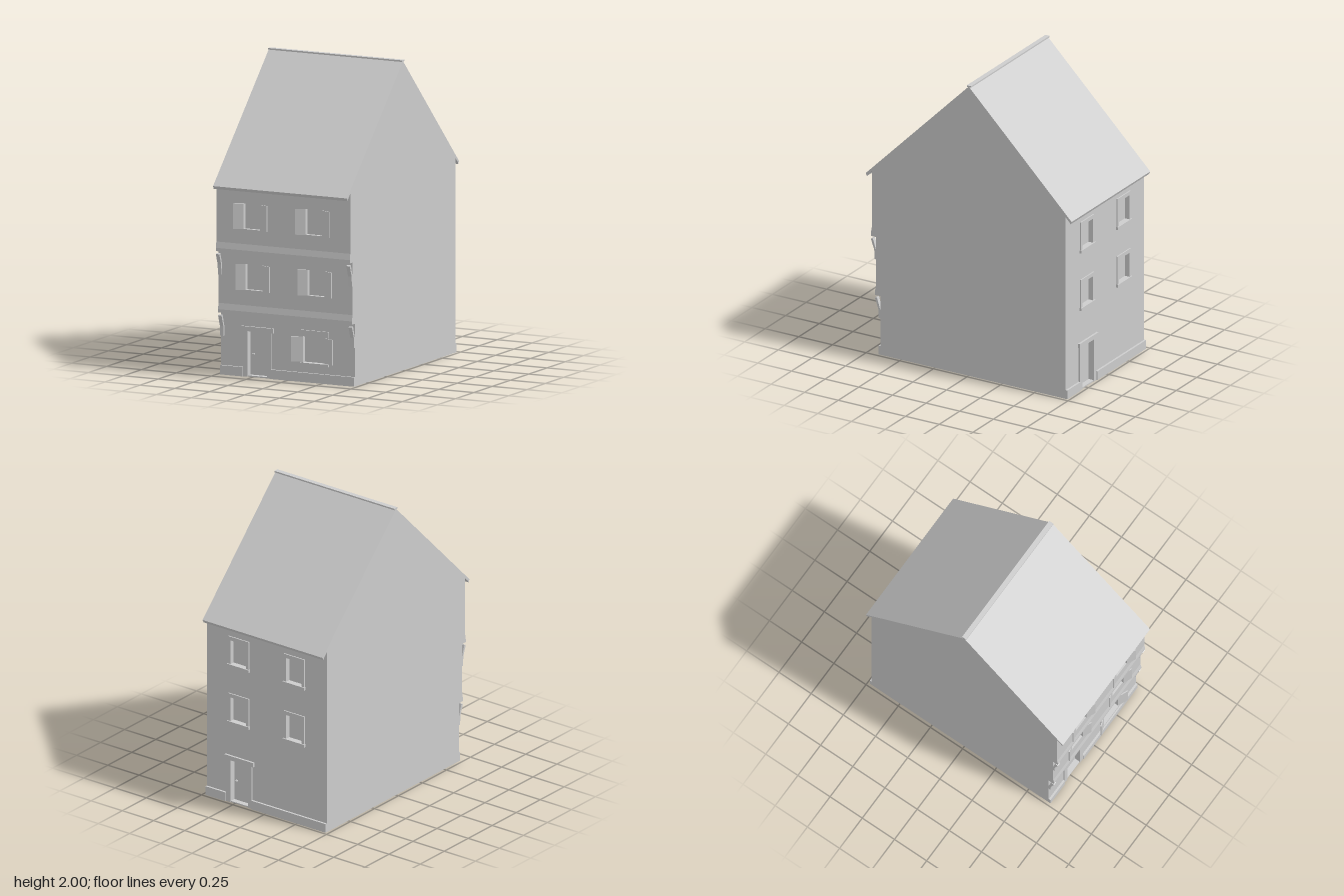
import * as THREE from 'three';

const stone = new THREE.MeshStandardMaterial({ color: 0xcccccc });
stone.name = 'pale grey';

const WALL = 0.045;   // wall thickness
const HALF = 0.48;    // half width of the house

function add(parent, name, geometry) {
  const mesh = new THREE.Mesh(geometry, stone);
  mesh.name = name;
  parent.add(mesh);
  return mesh;
}

// Box given by its limits on each axis
function block(parent, name, x0, x1, y0, y1, z0, z1) {
  const g = new THREE.BoxGeometry(x1 - x0, y1 - y0, z1 - z0);
  g.translate((x0 + x1) / 2, (y0 + y1) / 2, (z0 + z1) / 2);
  return add(parent, name, g);
}

function shapeOf(points) {
  return new THREE.Shape(points.map(([x, y]) => new THREE.Vector2(x, y)));
}

// Outline in (z, y), extruded along x from x0 to x1
function sideProfile(parent, name, points, x0, x1) {
  const g = new THREE.ExtrudeGeometry(shapeOf(points), { depth: x1 - x0, bevelEnabled: false });
  g.rotateY(-Math.PI / 2);
  g.translate(x1, 0, 0);
  return add(parent, name, g);
}

// Wall panel with rectangular window holes and an optional door notch
function wall(parent, name, y0, y1, zFace, windows, door) {
  const w = HALF - 0.04;
  const outline = [[-w, y0]];
  if (door) outline.push([door[0], y0], [door[0], door[2]], [door[1], door[2]], [door[1], y0]);
  outline.push([w, y0], [w, y1], [-w, y1]);
  const shape = shapeOf(outline);
  for (const [a, b, c, d] of windows) {
    shape.holes.push(new THREE.Path([[a, c], [a, d], [b, d], [b, c]].map(p => new THREE.Vector2(...p))));
  }
  const g = new THREE.ExtrudeGeometry(shape, { depth: WALL, bevelEnabled: false });
  g.translate(0, 0, zFace - WALL);
  add(parent, name, g);
  for (const [a, b, c, d] of windows) {
    block(parent, 'windowPane', a, b, c, d, zFace - 0.037, zFace - 0.025);
  }
}

// Pair of shutters, hinged at the opening and swung partly off the wall
function shutters(parent, [a, b, c, d], zFace, width) {
  for (const side of [-1, 1]) {
    const hinge = new THREE.Group();
    hinge.name = 'shutter';
    hinge.position.set(side < 0 ? a : b, 0, zFace);
    hinge.rotation.y = -side * 0.4;
    const x0 = side < 0 ? -width : 0;
    block(hinge, 'shutterBoard', x0, x0 + width, c, d, 0, 0.007);
    parent.add(hinge);
  }
}

// Door, raised surround, lintel, threshold and the plinth on either side
function doorway(parent, zFace) {
  const z = zFace;
  block(parent, 'doorLeaf', -0.285, -0.145, 0, 0.295, z - 0.048, z - 0.033);
  block(parent, 'doorStep', -0.285, -0.145, 0, 0.008, z - 0.033, z + 0.004);
  block(parent, 'doorHandle', -0.27, -0.255, 0.14, 0.148, z - 0.06, z - 0.018);
  block(parent, 'doorJamb', -0.32, -0.285, 0, 0.295, z, z + 0.008);
  block(parent, 'doorJamb', -0.145, -0.115, 0, 0.295, z, z + 0.008);
  block(parent, 'doorLintel', -0.33, -0.1, 0.295, 0.325, z, z + 0.014);
  block(parent, 'plinth', -HALF, -0.32, 0, 0.06, z, z + 0.014);
  block(parent, 'plinth', -0.115, HALF, 0, 0.06, z, z + 0.014);
}

export function createModel() {
  const house = new THREE.Group();
  house.name = 'townHouse';
  const door = [-0.285, -0.145, 0.295];
  const columns = [-0.2225, 0.2225];
  const row = (y0, y1) => columns.map(x => [x - 0.0625, x + 0.0625, y0, y1]);

  // Gable walls follow the stepped front
  const gable = [[-0.72, 0], [0.655, 0], [0.655, 0.405], [0.69, 0.405], [0.69, 0.805],
    [0.72, 0.805], [0.72, 1.262], [0, 1.982], [-0.72, 1.262]];
  sideProfile(house, 'leftGableWall', gable, HALF - 0.04, HALF);
  sideProfile(house, 'rightGableWall', gable, -HALF, -HALF + 0.04);

  // Front: three storeys, each jutting past the one below
  const front = new THREE.Group();
  front.name = 'frontFacade';
  house.add(front);
  const shopWindow = [0.11, 0.27, 0.125, 0.295];
  wall(front, 'groundFloorWall', 0, 0.405, 0.655, [shopWindow], door);
  doorway(front, 0.655);
  shutters(front, [0.11, 0.27, 0.13, 0.293], 0.66, 0.075);
  block(front, 'windowLintel', 0.09, 0.295, 0.295, 0.335, 0.655, 0.665);
  block(front, 'windowSill', 0.09, 0.295, 0.11, 0.125, 0.655, 0.67);
  for (const [x0, x1] of [[0.09, 0.11], [0.27, 0.295]]) {
    block(front, 'windowJamb', x0, x1, 0.125, 0.295, 0.655, 0.661);
  }

  [[0.405, 0.805, 0.69, 0.565], [0.805, 1.255, 0.72, 0.962]].forEach(([y0, y1, z, sill], i) => {
    const windows = row(sill, sill + 0.166);
    wall(front, i ? 'secondFloorWall' : 'firstFloorWall', y0, y1, z, windows);
    windows.forEach(w => shutters(front, w, z, 0.066));
    // Tapered beam at the foot of the storey
    sideProfile(front, 'jettyBeam', [[z - 0.04, y0 - 0.001], [z + 0.007, y0 - 0.001],
      [z + 0.007, y0 + 0.02], [z, y0 + 0.06], [z - 0.04, y0 + 0.06]], -HALF, HALF);
    // Slanted struts under the overhang
    for (const x of [-0.48, 0.455]) {
      sideProfile(front, 'strut', [[z - 0.035, y0 - 0.155], [z - 0.022, y0 - 0.155],
        [z - 0.018, y0 - 0.09], [z + 0.007, y0 - 0.02], [z - 0.008, y0 - 0.015],
        [z - 0.035, y0 - 0.1]], x, x + 0.025);
    }
  });

  // Back: one flat wall, turned to face the rear
  const back = new THREE.Group();
  back.name = 'backFacade';
  back.rotation.y = Math.PI;
  house.add(back);
  const backWindows = [...row(0.565, 0.73), ...row(0.962, 1.127)];
  wall(back, 'backWall', 0, 1.255, 0.72, backWindows, door);
  doorway(back, 0.72);
  for (const [a, b, c, d] of backWindows) {
    block(back, 'windowLintel', a - 0.02, b + 0.02, d, d + 0.026, 0.72, 0.728);
    block(back, 'windowSill', a - 0.024, b + 0.024, c - 0.02, c, 0.72, 0.736);
    block(back, 'windowJamb', a - 0.02, a, c, d, 0.72, 0.728);
    block(back, 'windowJamb', b, b + 0.02, c, d, 0.72, 0.728);
  }

  // Roof slabs and ridge cap
  for (const s of [1, -1]) {
    const slab = [[0, 1.994], [s * 0.765, 1.229], [s * 0.756, 1.21], [s * 0.75, 1.222], [0, 1.972]];
    sideProfile(house, s > 0 ? 'frontRoof' : 'backRoof', slab, -HALF, HALF);
  }
  block(house, 'ridgeCap', -HALF, HALF, 1.99, 2, -0.018, 0.014);
  block(house, 'ridgeBeam', -HALF, HALF, 1.955, 1.975, -0.01, 0.01);
  return house;
}
